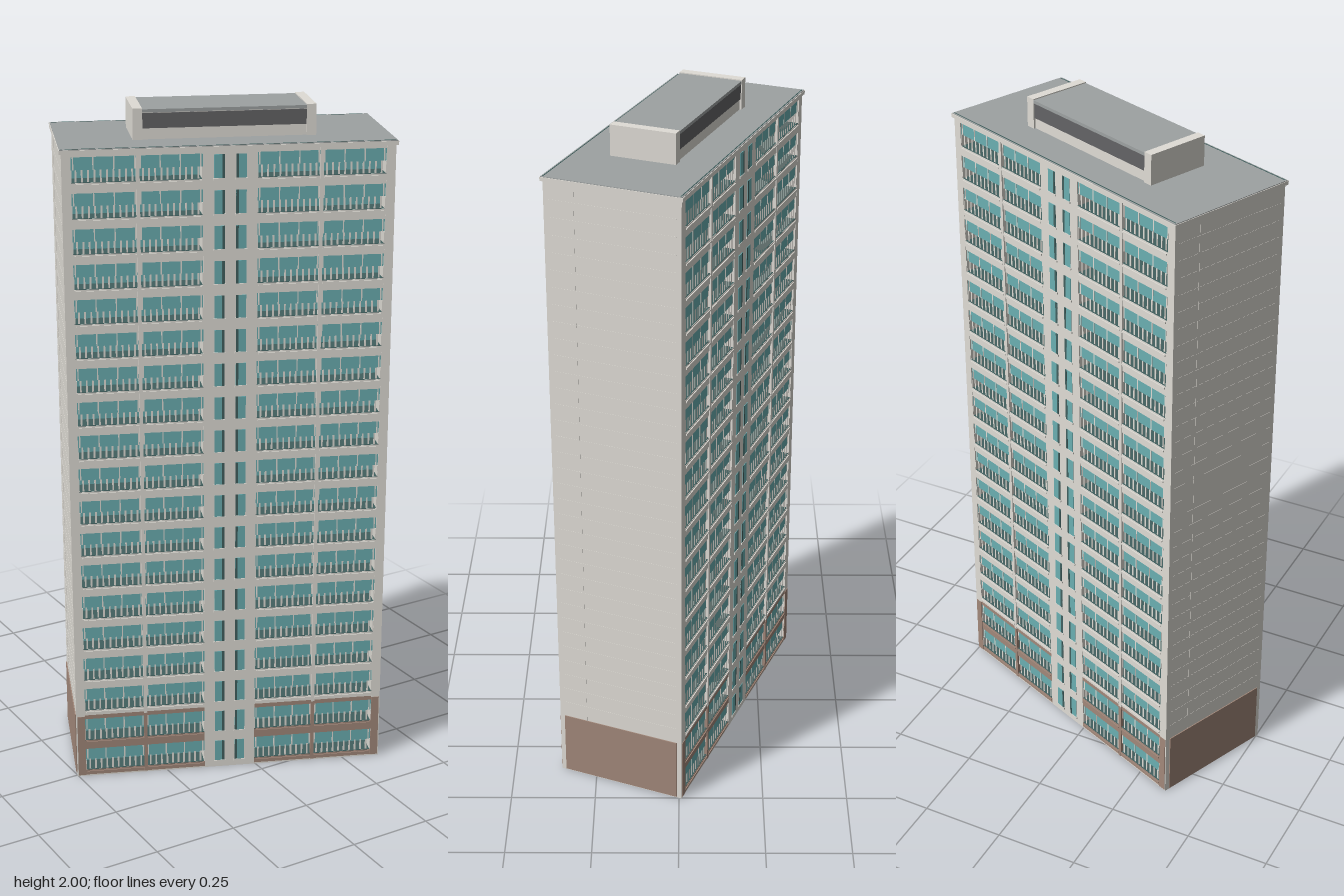
import * as THREE from 'three';
import { mergeGeometries } from 'three/addons/utils/BufferGeometryUtils.js';

const mat = (name, color) => {
  const m = new THREE.MeshStandardMaterial({ color });
  m.name = name;
  return m;
};

export function createModel() {
  const M = {
    concrete: mat('pale concrete', 0xe0ddd6),
    glass: mat('teal glass', 0x6bafb2),
    shade: mat('dark teal', 0x41605f),
    brick: mat('brown brick', 0xa2887a),
    roof: mat('grey roof', 0x9ea2a2),
    louvre: mat('louvre grey', 0x646466),
  };
  const model = new THREE.Group();
  const tower = new THREE.Group();
  tower.name = 'tower';
  tower.rotation.y = -0.386;
  model.add(tower);

  // Boxes that share a part name are merged into one mesh
  const parts = new Map();
  const box = (name, m, x0, x1, y0, y1, z0, z1) => {
    const g = new THREE.BoxGeometry(x1 - x0, y1 - y0, z1 - z0);
    g.translate((x0 + x1) / 2, (y0 + y1) / 2, (z0 + z1) / 2);
    if (!parts.has(name)) parts.set(name, { m, list: [] });
    parts.get(name).list.push(g);
  };
  // Same box on one half and, turned half a circle, on the other
  const twin = (name, m, x0, x1, y0, y1, z0, z1) => {
    box(name, m, x0, x1, y0, y1, z0, z1);
    box(name, m, -x1, -x0, y0, y1, -z1, -z0);
  };
  // Box on all four quarters of the plan
  const quad = (name, m, x0, x1, y0, y1, z0, z1) => {
    twin(name, m, x0, x1, y0, y1, z0, z1);
    twin(name, m, -x1, -x0, y0, y1, z0, z1);
  };

  const L = 0.463, W = 0.196, H = 1.9, floors = 19, step = H / floors;
  const core = 0.076, jamb = 0.437, back = 0.138, mid = 0.255;
  const sillY = 0.021, railY = 0.055, headY = 0.091;

  // Main volumes: glazed body, stair core, end walls
  box('glazedBody', M.glass, -jamb, jamb, 0.004, H, -back, back);
  box('stairCore', M.concrete, -core, core, 0.004, H, -W, W);
  twin('endWall', M.concrete, jamb, L, 0.004, H, -W, W);
  box('underside', M.concrete, -L, L, 0, 0.004, -W, W);

  // Brick plinth on the end walls and the corner piers
  twin('plinthPanel', M.brick, L, L + 0.003, 0.004, 0.2, -0.181, 0.181);
  quad('plinthPier', M.brick, jamb, L - 0.003, 0.004, 0.2, W, W + 0.002);

  // Fine panel joints on the end walls
  for (let y = 0.25; y < H - 0.02; y += step / 2)
    twin('endJoint', M.concrete, L, L + 0.0006, y - 0.0006, y + 0.0006, -0.181, 0.181);
  twin('endSeam', M.concrete, L, L + 0.0008, 0.2, H, 0.108, 0.11);

  // Slim post between the two bays of each run
  quad('bayPost', M.concrete, mid - 0.005, mid + 0.005, 0.2, H, W - 0.008, W + 0.002);
  quad('lowBayPost', M.brick, mid - 0.005, mid + 0.005, 0.004, 0.2, W - 0.008, W + 0.002);

  for (let f = 0; f < floors; f++) {
    const y = f * step, low = f < 2;
    const y1 = y + sillY, y2 = y + railY, y3 = y + headY;
    const wall = low ? M.brick : M.concrete, tag = low ? 'brick' : 'pale';

    // Spandrel below and head above the window band
    quad(tag + 'Spandrel', wall, core, jamb, y + 0.004, y1 - 0.001, back, W);
    quad(tag + 'Head', wall, core, jamb, y3, y + step + 0.004, back, W - 0.0005);
    quad('recessFloor', M.shade, core, jamb, y1 - 0.001, y1, back, W - 0.001);

    // Flush upper panes over a recessed lower strip with pale cheeks
    quad('upperPane', M.glass, core, jamb, y2, y3, back, W - 0.004);
    quad('cheek', M.concrete, core, core + 0.002, y1, y2, back, W - 0.001);
    quad('cheek', M.concrete, jamb - 0.002, jamb, y1, y2, back, W - 0.001);

    for (const [a, b] of [[core + 0.004, mid - 0.006], [mid + 0.006, jamb - 0.004]]) {
      const w = b - a;
      // Thin projecting ledge under each bay
      quad(tag + 'Ledge', wall, a, b, y + 0.011, y + 0.016, W, W + 0.003);
      // Mullions of the upper panes
      for (const t of [0.01, 0.34, 0.67, 0.99]) {
        const x = a + w * t;
        quad('mullion', M.concrete, x - 0.0018, x + 0.0018, y2, y3, W - 0.004, W - 0.003);
      }
      // Flat upright bars across the lower strip
      for (let i = 0; i < 10; i++) {
        const x = a + (w * (i + 0.5)) / 10;
        quad('railBar', M.concrete, x - 0.0026, x + 0.0026, y1, y2, W - 0.005, W - 0.004);
      }
    }

    // Narrow stair windows with a dark side pane and a sill
    quad('stairGlass', M.glass, 0.016, 0.045, y + 0.022, y + 0.088, W, W + 0.0015);
    quad('stairSidePane', M.shade, 0.016, 0.023, y + 0.022, y + 0.088, W, W + 0.002);
    quad('stairSill', M.concrete, 0.013, 0.048, y + 0.016, y + 0.022, W, W + 0.003);
  }

  // Flat roof with a slim pale fascia and dark edge channel
  box('fascia', M.concrete, -L - 0.006, L + 0.006, H, 1.911, -W - 0.006, W + 0.006);
  box('roofDeck', M.roof, -L - 0.004, L + 0.004, 1.911, 1.913, -W - 0.004, W + 0.004);
  twin('edgeChannel', M.shade, -L, L, 1.913, 1.9135, W - 0.003, W);

  // Plant room: two end slabs, louvred sides, flat roof
  const p = 0.257, q = 0.095, e = p - 0.027;
  twin('plantEnd', M.concrete, e, p, 1.911, 2.0, -q, q);
  box('plantBody', M.concrete, -e, e, 1.911, 1.988, -q + 0.006, q - 0.006);
  box('plantRoof', M.roof, -e, e, 1.988, 1.997, -q + 0.001, q - 0.001);
  twin('plantLouvre', M.louvre, -e, e, 1.944, 1.986, q - 0.006, q - 0.003);

  for (const [name, { m, list }] of parts) {
    const mesh = new THREE.Mesh(mergeGeometries(list), m);
    mesh.name = name;
    tower.add(mesh);
  }
  return model;
}
